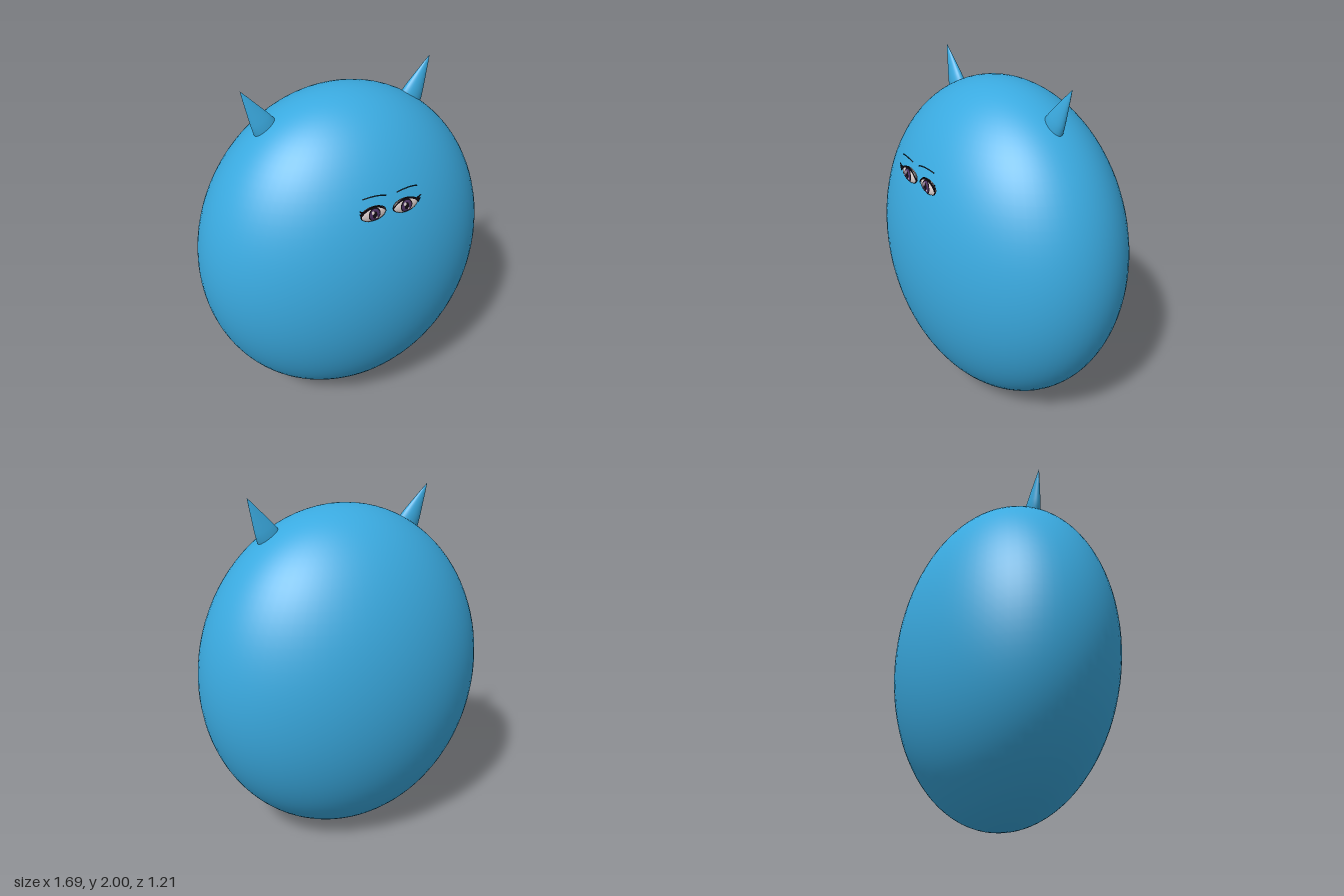
import * as THREE from 'three';

const mat = (name, color, side = THREE.FrontSide) => {
  const m = new THREE.MeshStandardMaterial({ color, side });
  m.name = name;
  return m;
};

export function createModel() {
  const blue = mat('skin blue', 0x3aaae0);
  const white = mat('eye white', 0xe6dad8, THREE.DoubleSide);
  const dark = mat('lash black', 0x120c14, THREE.DoubleSide);
  const purple = mat('iris purple', 0x52366a, THREE.DoubleSide);
  const navy = mat('brow navy', 0x123a50, THREE.DoubleSide);

  const model = new THREE.Group();
  model.name = 'hornedEgg';
  const add = (parent, name, geometry, material) => {
    const mesh = new THREE.Mesh(geometry, material);
    mesh.name = name;
    parent.add(mesh);
    return mesh;
  };

  // Egg-shaped body
  const body = add(model, 'body', new THREE.SphereGeometry(1, 72, 48), blue);
  body.scale.set(0.846, 0.962, 0.605);
  body.position.y = 0.966;

  // Half-axes of the shallow eyeball
  const A = 0.07, B = 0.042, C = 0.016;

  // Oval patch (or ring when inner > 0) laid over the eyeball's curve
  const patch = (cx, cy, rx, ry, lift, inner = 0) => {
    const g = new THREE.RingGeometry(inner, 1, 32, 4);
    const p = g.attributes.position;
    for (let i = 0; i < p.count; i++) {
      const x = cx + p.getX(i) * rx, y = cy + p.getY(i) * ry;
      const d = 1 - (x / A) ** 2 - (y / B) ** 2;
      p.setXYZ(i, x, y, C * Math.sqrt(Math.max(0, d)) + lift);
    }
    g.computeVertexNormals();
    return g;
  };

  for (const s of [1, -1]) {
    const side = s > 0 ? 'left' : 'right';

    // Slightly swollen, flattened horn leaning outwards
    const profile = [[0.062, -0.05], [0.067, 0], [0.056, 0.045], [0.046, 0.08],
      [0.031, 0.13], [0.015, 0.185], [0, 0.232]].map(([r, y]) => new THREE.Vector2(r, y));
    const horn = add(model, side + 'Horn', new THREE.LatheGeometry(profile, 32), blue);
    horn.scale.z = 0.56;
    horn.position.set(s * 0.4275, 1.795, 0);
    horn.rotation.set(-0.05, 0, -s * 0.484);

    // Eye
    const eye = new THREE.Group();
    eye.name = side + 'Eye';
    eye.position.set(s * 0.09, 1.489, 0.529);
    model.add(eye);
    const ball = add(eye, 'eyeball', new THREE.SphereGeometry(1, 32, 16), white);
    ball.scale.set(A, B, C);
    add(eye, 'rim', patch(0, 0, A + 0.002, B + 0.002, 0.002, 0.93), dark);
    add(eye, 'irisEdge', patch(0, 0.002, 0.033, 0.037, 0.001), dark);
    add(eye, 'iris', patch(0, 0.001, 0.027, 0.032, 0.002), purple);
    add(eye, 'pupil', patch(0, 0.002, 0.012, 0.02, 0.003), dark);
    add(eye, 'highlight', patch(-0.011, 0.015, 0.007, 0.009, 0.004), white);
    add(eye, 'smallHighlight', patch(0.011, -0.015, 0.005, 0.006, 0.004), white);

    // Upper lash line with outer flicks
    const lash = new THREE.Shape();
    lash.moveTo(-s * 0.072, -0.002);
    lash.quadraticCurveTo(-s * 0.045, 0.046, 0, 0.046);
    lash.quadraticCurveTo(s * 0.035, 0.045, s * 0.058, 0.029);
    lash.lineTo(s * 0.084, 0.042);
    lash.lineTo(s * 0.069, 0.02);
    lash.lineTo(s * 0.082, 0.024);
    lash.lineTo(s * 0.072, 0);
    lash.quadraticCurveTo(s * 0.045, 0.036, 0, 0.037);
    lash.quadraticCurveTo(-s * 0.042, 0.036, -s * 0.072, -0.002);
    add(eye, 'upperLash', new THREE.ExtrudeGeometry(lash,
      { depth: 0.004, bevelEnabled: false, curveSegments: 12 }), dark).position.z = 0.008;

    // Thin arched brow
    const browLine = new THREE.QuadraticBezierCurve3(
      new THREE.Vector3(s * 0.03, 1.584, 0.542),
      new THREE.Vector3(s * 0.09, 1.608, 0.55),
      new THREE.Vector3(s * 0.152, 1.583, 0.528));
    add(model, side + 'Brow', new THREE.TubeGeometry(browLine, 16, 0.0032, 6), navy);
  }
  return model;
}
